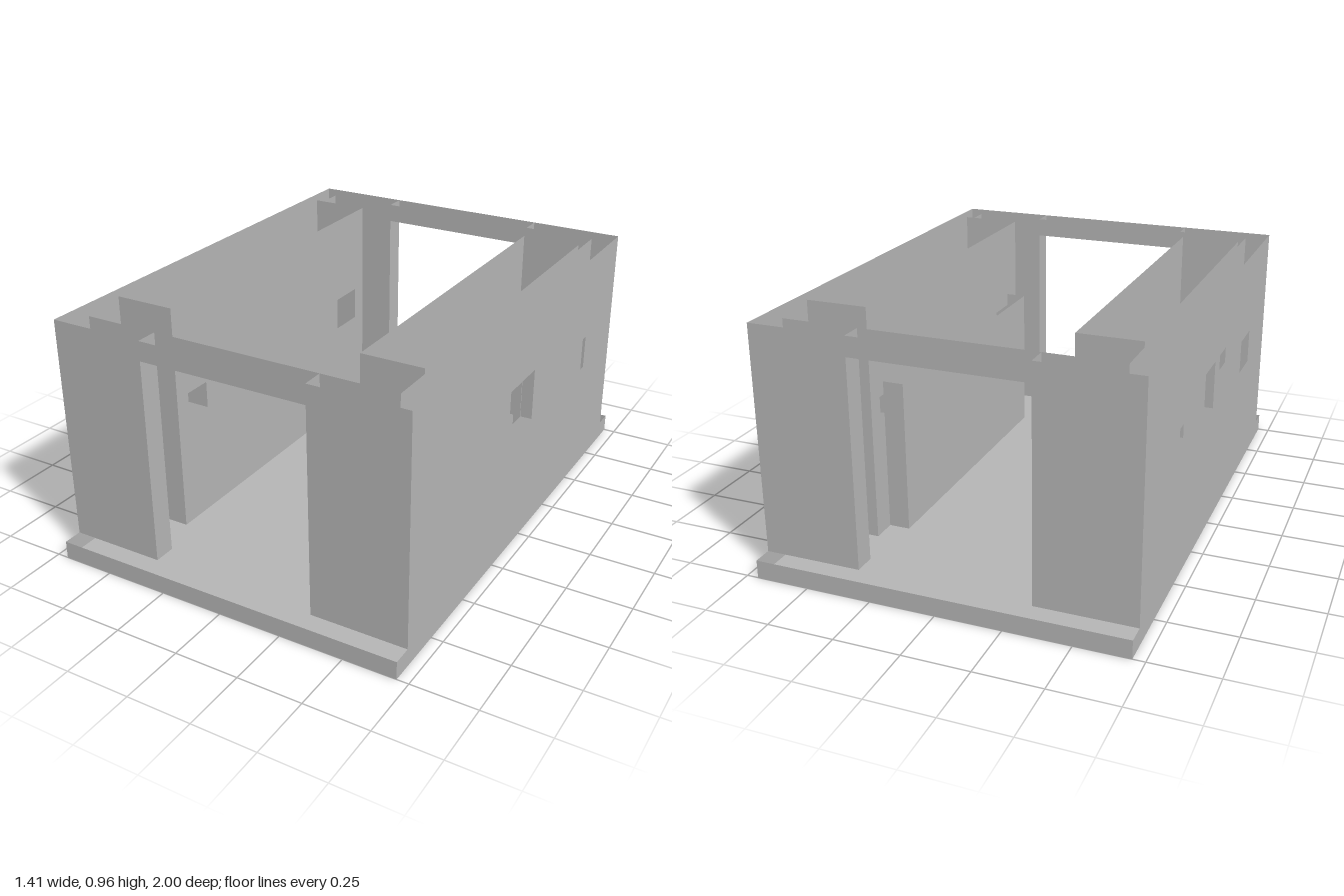
import * as THREE from 'three';

export function createModel() {
  const root = new THREE.Group();
  root.name = 'openRoofBuilding';
  const grey = new THREE.MeshStandardMaterial({ color: 0xb4b4b4, side: THREE.DoubleSide });
  grey.name = 'plainGrey';

  const rect = (a0, a1, b0, b1) => [[a0, b0], [a1, b0], [a1, b1], [a0, b1]];
  const toPath = (pts, Type) => new Type(pts.map(([a, b]) => new THREE.Vector2(a, b)));

  // Thin panel: axis x uses (z, y) points, y uses (x, z), z uses (x, y)
  function panel(name, axis, at, pts, holes = [], parent = root) {
    const shape = toPath(pts, THREE.Shape);
    shape.holes = holes.map((h) => toPath(h, THREE.Path));
    const geo = new THREE.ShapeGeometry(shape);
    if (axis === 'x') geo.rotateY(-Math.PI / 2);
    if (axis === 'y') geo.rotateX(Math.PI / 2);
    const mesh = new THREE.Mesh(geo, grey);
    mesh.name = name;
    mesh.position[axis] = at;
    parent.add(mesh);
  }

  const X = 0.705, Z = 0.925, BASE = 0.07, TOP = 0.945, RAISED = 0.965;
  const INX = 0.62, INZ = 0.84, ROOM = 0.385, ROOMZ = 0.68;
  const DOOR = 0.33, DOORTOP = 0.87, BENCH = 0.305, BENCHZ = 0.585;

  // Base tray
  panel('basePlate', 'y', 0, rect(-X, X, -1, 1));
  for (const s of [-1, 1]) {
    panel('baseEnd', 'z', s, rect(-X, X, 0, BASE));
    panel('baseSide', 'x', s * X, rect(-1, 1, 0, BASE));
  }

  // End walls with doorways, front and back
  const doorWall = (w) => [[-w, BASE], [-w, TOP], [w, TOP], [w, BASE],
    [DOOR, BASE], [DOOR, DOORTOP], [-DOOR, DOORTOP], [-DOOR, BASE]];
  for (const s of [-1, 1]) {
    panel('endWallOuter', 'z', s * Z, doorWall(X));
    panel('endWallInner', 'z', s * INZ, doorWall(INX));
    panel('doorLintel', 'y', DOORTOP, rect(-DOOR, DOOR, s * INZ, s * Z));
    for (const side of [-1, 1]) {
      panel('doorJamb', 'x', side * DOOR, rect(s * INZ, s * Z, BASE, TOP));
    }
  }

  // Window openings, as (z, y)
  const smallWindows = [-1, 1].map((s) => rect(s * 0.46, s * 0.615, 0.47, 0.605));
  const middleWindow = rect(-0.158, 0.158, 0.42, 0.68);

  // Window lining: two cheeks and a head
  function lining(name, x0, x1, z0, z1, y0, y1, parent) {
    const g = new THREE.Group();
    g.name = name;
    parent.add(g);
    panel('liningHead', 'y', y1, rect(x0, x1, z0, z1), [], g);
    for (const z of [z0, z1]) panel('liningCheek', 'z', z, rect(x0, x1, y0, y1), [], g);
  }

  // Side walls, mirrored
  for (const s of [-1, 1]) {
    const side = new THREE.Group();
    side.name = s > 0 ? 'leftSideWall' : 'rightSideWall';
    root.add(side);
    panel('outerFace', 'x', s * X, rect(-Z, Z, BASE, TOP), [...smallWindows, middleWindow], side);
    const middle = [[-INZ, BASE], [INZ, BASE], [INZ, TOP], [ROOMZ, TOP], [ROOMZ, RAISED],
      [-ROOMZ, RAISED], [-ROOMZ, TOP], [-INZ, TOP]];
    panel('middleFace', 'x', s * INX, middle, [...smallWindows, middleWindow], side);
    panel('roomFace', 'x', s * ROOM, rect(-ROOMZ, ROOMZ, BASE, RAISED), smallWindows, side);
    for (const e of [-1, 1]) {
      panel('returnFace', 'z', e * ROOMZ, rect(s * ROOM, s * INX, BASE, RAISED), [], side);
      lining('smallWindowLining', s * 0.415, s * 0.575, e * 0.465, e * 0.61, 0.475, 0.6, side);
    }
    lining('middleWindowLining', s * 0.56, s * 0.667, -0.162, 0.162, 0.42, 0.67, side);

    // Underside of the wall; the left one also carries the low inner partition
    const notch = s > 0 ? BENCH : ROOM;
    const half = [[DOOR, Z], [X, Z], [X, 0], [notch, 0], [notch, BENCHZ], [ROOM, BENCHZ],
      [ROOM, ROOMZ], [INX, ROOMZ], [INX, INZ], [DOOR, INZ]];
    for (const e of [-1, 1]) {
      panel('wallUnderside', 'y', BASE, half.map(([x, z]) => [s * x, e * z]), [], side);
    }
  }

  // Low partition along the left wall
  panel('partitionFace', 'x', BENCH, rect(-BENCHZ, BENCHZ, BASE, 0.655));
  for (const e of [-1, 1]) {
    panel('partitionEnd', 'z', e * BENCHZ, rect(BENCH, ROOM, BASE, 0.655));
  }

  return root;
}
